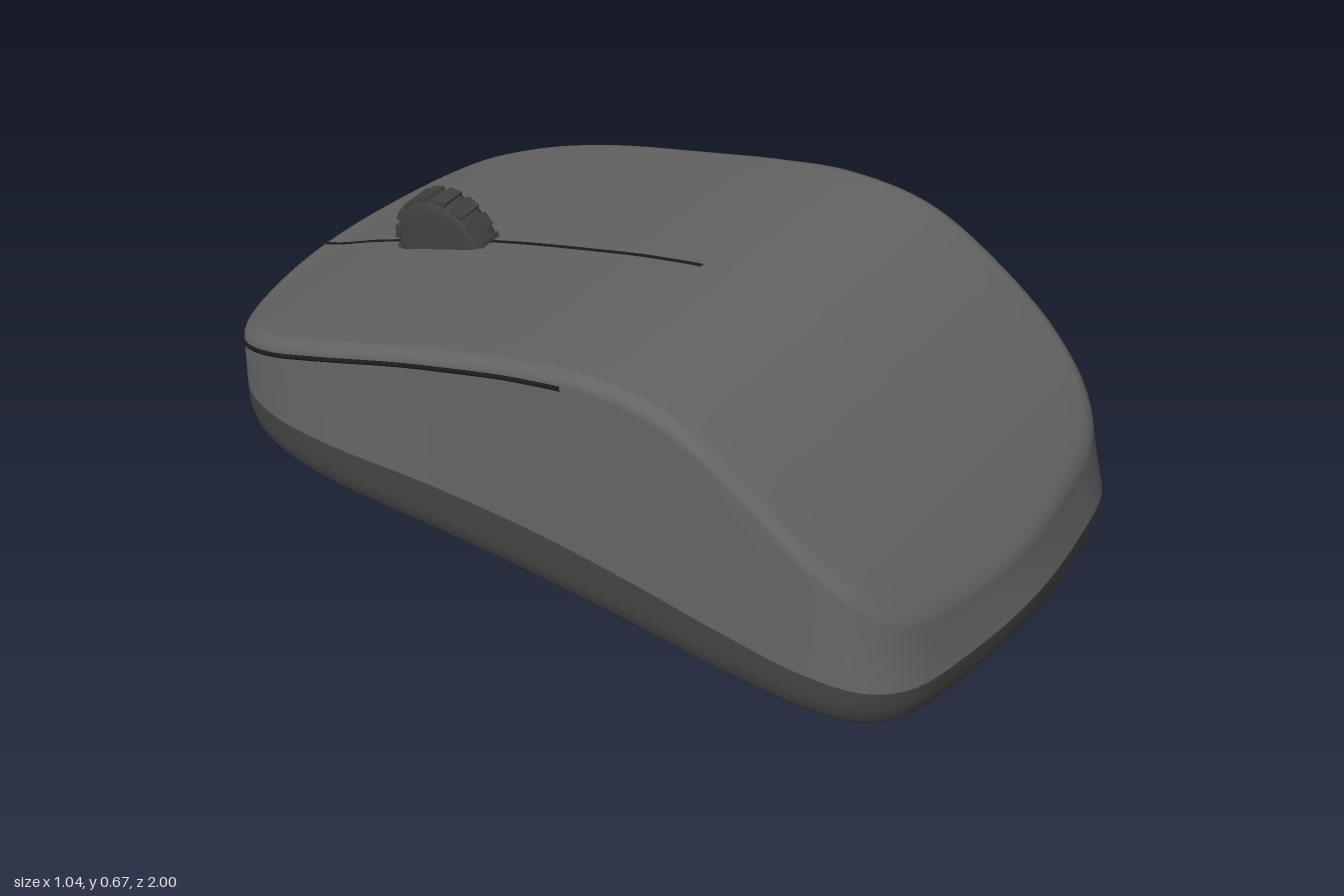
import * as THREE from 'three';

const V2 = (x, y) => new THREE.Vector2(x, y);
const V3 = (x, y, z) => new THREE.Vector3(x, y, z);
const WHEEL = { x: -0.012, y: 0.417, z: -0.585, r: 0.13, w: 0.084 };
const FILLET = 0.032;

// Side profile: height of the top surface along z, knots every 0.2
const profile = new THREE.SplineCurve(
  [0.25, 0.335, 0.42, 0.495, 0.56, 0.62, 0.662, 0.65, 0.55, 0.405, 0.245].map((y, i) => V2(-1 + i * 0.2, y)));
const topY = z => profile.getPoint(THREE.MathUtils.clamp((z + 1) / 2, 0, 1)).y;
const seamY = z => 0.133 + 0.057 * Math.max(0, Math.cos(z * Math.PI / 2));
// How far the wall leans inward at its top
const lean = z => 0.01 * THREE.MathUtils.smoothstep(z, -0.95, -0.5) + 0.02 * THREE.MathUtils.smoothstep(z, 0.7, 0.95);

// Plan outline, one half mirrored, with outward normals
function makeOutline(count) {
  const half = [[0, -1], [0.2, -0.977], [0.36, -0.92], [0.45, -0.84], [0.5, -0.72], [0.52, -0.55], [0.511, -0.25], [0.507, 0],
    [0.511, 0.25], [0.52, 0.55], [0.511, 0.75], [0.475, 0.87], [0.4, 0.94], [0.22, 0.98], [0, 0.997]];
  const mirrored = half.slice(1, -1).reverse().map(([x, z]) => [-x, z]);
  const curve = new THREE.CatmullRomCurve3([...half, ...mirrored].map(([x, z]) => V3(x, 0, z)), true);
  curve.arcLengthDivisions = 1000;
  return Array.from({ length: count }, (_, j) => {
    const p = curve.getPointAt(j / count), t = curve.getTangentAt(j / count);
    return { x: p.x, z: p.z, nx: t.z, nz: -t.x };
  });
}

// Skin closed rings, listed from bottom to top
function loft(rings) {
  const n = rings[0].length, index = [];
  for (let i = 0; i < rings.length - 1; i++) {
    for (let j = 0; j < n; j++) {
      const a = i * n + j, b = i * n + (j + 1) % n;
      index.push(a, a + n, b, b, a + n, b + n);
    }
  }
  const g = new THREE.BufferGeometry().setFromPoints(rings.flat());
  g.setIndex(index);
  g.computeVertexNormals();
  return g;
}

// Thin strip lying on the top surface
function topStrip(x, z0, z1, width) {
  const g = new THREE.PlaneGeometry(width, z1 - z0, 1, 30).rotateX(-Math.PI / 2).translate(x, 0, (z0 + z1) / 2);
  const p = g.attributes.position;
  for (let i = 0; i < p.count; i++) p.setY(i, topY(p.getZ(i)) + 0.003);
  g.computeVertexNormals();
  return g;
}

export function createModel() {
  const model = new THREE.Group();
  const material = (name, color) => Object.assign(new THREE.MeshStandardMaterial({ color }), { name });
  const shellGrey = material('shellGrey', 0x646464);
  const baseGrey = material('baseGrey', 0x444444);
  const wheelGrey = material('wheelGrey', 0x404040);
  const gapBlack = material('gapBlack', 0x1c1c1c);
  const add = (name, geometry, mat, parent = model) => {
    const mesh = new THREE.Mesh(geometry, mat);
    mesh.name = name;
    parent.add(mesh);
    return mesh;
  };

  const outline = makeOutline(180);
  // Ring inset from the outline; height depends on the resulting z
  const ring = (inset, height) => outline.map(o => {
    const d = inset(o.z), x = o.x - o.nx * d, z = o.z - o.nz * d;
    return V3(x, height(z), z);
  });
  const flatten = r => r.map(p => V3(0, p.y, p.z));

  // Upper shell: leaning wall, rounded rim, then a cap closing on the centre line
  const shell = [];
  for (let i = 0; i <= 5; i++) {
    const u = i / 5;
    shell.push(ring(z => lean(z) * u, z => THREE.MathUtils.lerp(seamY(z), topY(z) - FILLET, u)));
  }
  for (let i = 1; i <= 6; i++) {
    const a = i / 6 * Math.PI / 2;
    shell.push(ring(z => lean(z) + FILLET * (1 - Math.cos(a)), z => topY(z) - FILLET * (1 - Math.sin(a))));
  }
  const rim = shell[shell.length - 1];
  shell.push(rim.map(p => V3(p.x * 0.85, p.y, p.z)), flatten(rim));
  add('upperShell', loft(shell), shellGrey);

  // Base: flat underside with a soft rounded edge up to the seam
  const base = [[0.15, 0], [0.095, 0.006], [0.055, 0.018], [0.028, 0.035], [0.01, 0.06], [0, 0.1]]
    .map(([inset, y]) => ring(() => inset, () => y));
  base.unshift(flatten(base[0]));
  base.push(ring(() => 0, seamY));
  add('base', loft(base), baseGrey);

  // Gap under the button plate, wrapping around the back end
  const n = outline.length, path = [];
  for (let j = -n / 2; j <= n / 2; j++) {
    const o = outline[(j + n) % n];
    if (o.z > 0.13) continue;
    const d = lean(o.z);
    path.push(V3(o.x - o.nx * d, topY(o.z) - FILLET - 0.004, o.z - o.nz * d));
  }
  add('buttonGap', new THREE.TubeGeometry(new THREE.CatmullRomCurve3(path), 200, 0.006, 6), gapBlack);

  // Split between the two buttons, before and after the wheel
  add('buttonSplitBack', topStrip(WHEEL.x, -0.985, -0.7, 0.012), gapBlack);
  add('buttonSplitFront', topStrip(WHEEL.x, -0.46, 0.13, 0.012), gapBlack);

  // Scroll wheel with rounded shoulders and raised treads
  const wheel = new THREE.Group();
  wheel.name = 'scrollWheel';
  wheel.position.set(WHEEL.x, WHEEL.y, WHEEL.z);
  model.add(wheel);
  const h = WHEEL.w / 2, r = WHEEL.r;
  const section = [[0, -h], [r - 0.025, -h], [r - 0.008, -h + 0.006], [r, -h + 0.02],
    [r, h - 0.02], [r - 0.008, h - 0.006], [r - 0.025, h], [0, h]].map(([x, y]) => V2(x, y));
  add('wheelTyre', new THREE.LatheGeometry(section, 48).rotateZ(Math.PI / 2), wheelGrey, wheel);
  for (let i = 0; i < 16; i++) {
    const tread = new THREE.BoxGeometry(WHEEL.w - 0.02, 0.012, 0.034).translate(0, r, 0).rotateX(i / 16 * Math.PI * 2);
    add('wheelTread', tread, wheelGrey, wheel);
  }
  return model;
}
